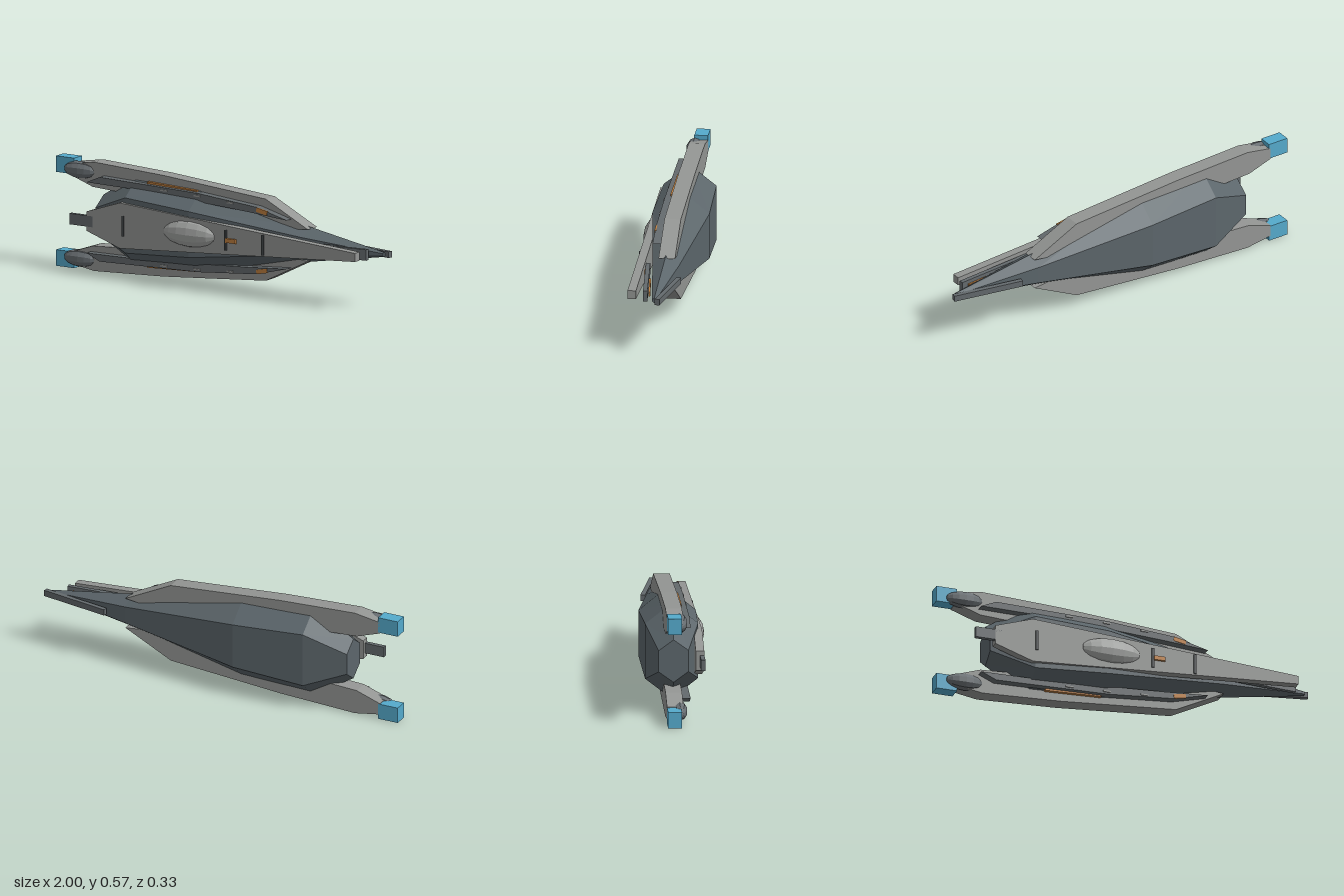
import * as THREE from 'three';

const MID = 0.283; // height of the mirror plane

const mat = (name, color) => {
  const m = new THREE.MeshStandardMaterial({ color });
  m.name = name;
  return m;
};

// Hexagonal hull: each section is [x, tip half height, flat half height, half depth, centre z]
function hullGeometry(sections) {
  const rings = sections.map(([x, v, f, h, c]) =>
    [[v, 0], [f, h], [-f, h], [-v, 0], [-f, -h], [f, -h]].map(([y, z]) => [x, MID + y, c + z]));
  const pos = [];
  const tri = (...pts) => pts.forEach((p) => pos.push(...p));
  for (let i = 0; i < rings.length - 1; i++) {
    for (let j = 0; j < 6; j++) {
      const k = (j + 1) % 6;
      const a = rings[i][j], b = rings[i + 1][j], c = rings[i + 1][k], d = rings[i][k];
      tri(a, d, b);
      tri(d, c, b);
    }
  }
  const first = rings[0], last = rings[rings.length - 1];
  for (let j = 1; j < 5; j++) {
    tri(first[0], first[j + 1], first[j]);
    tri(last[0], last[j], last[j + 1]);
  }
  const g = new THREE.BufferGeometry();
  g.setAttribute('position', new THREE.Float32BufferAttribute(pos, 3));
  g.computeVertexNormals();
  return g;
}

export function createModel() {
  const group = new THREE.Group();
  const hullGrey = mat('hull grey', 0x5c666b);
  const lightGrey = mat('light grey', 0x949694);
  const midGrey = mat('trim grey', 0x646a6d);
  const darkGrey = mat('slot grey', 0x454a4c);
  const orange = mat('orange', 0xc08040);
  const blue = mat('engine blue', 0x55aacc);
  const podGrey = mat('pod grey', 0x686e72);
  const domeGrey = mat('dome grey', 0xa4a6a4);
  podGrey.flatShading = domeGrey.flatShading = true;

  const add = (name, geo, material) => {
    const m = new THREE.Mesh(geo, material);
    m.name = name;
    group.add(m);
    return m;
  };
  const box = (name, material, size, at, tilt = 0) => {
    const m = add(name, new THREE.BoxGeometry(...size), material);
    m.position.set(...at);
    m.rotation.y = tilt;
    return m;
  };
  // Slab cut from an outline in x and y, between two z values
  const slab = (name, material, pts, z0, z1) => {
    const shape = new THREE.Shape(pts.map((p) => new THREE.Vector2(...p)));
    const g = new THREE.ExtrudeGeometry(shape, { depth: z1 - z0, bevelEnabled: false });
    g.translate(0, 0, z0);
    return add(name, g, material);
  };
  const ellipsoid = (name, material, radii, at, w, h) => {
    const g = new THREE.SphereGeometry(1, w, h);
    g.rotateZ(Math.PI / 2);
    g.scale(...radii);
    return add(name, g, material).position.set(...at);
  };

  // Main hull
  add('hull', hullGeometry([
    [-0.73, 0.11, 0.055, 0.075, -0.025],
    [-0.51, 0.247, 0.142, 0.134, -0.022],
    [-0.12, 0.236, 0.118, 0.144, -0.022],
    [0.52, 0.09, 0.045, 0.068, -0.02],
    [0.97, 0.012, 0.006, 0.01, -0.015],
  ]), hullGrey);

  // Long deck plate on the front face, with slots, dome and tail block
  const half = [[-0.73, 0.05], [-0.53, 0.117], [0.89, 0.022]];
  slab('deckPlate', lightGrey, [
    ...half.map(([x, y]) => [x, MID + y]),
    ...half.map(([x, y]) => [x, MID - y]).reverse(),
  ], 0.087, 0.13);
  for (const x of [-0.51, 0.11, 0.335]) box('deckSlot', darkGrey, [0.013, 0.105, 0.009], [x, MID, 0.132]);
  box('deckMarker', orange, [0.06, 0.022, 0.016], [0.145, MID, 0.134]);
  ellipsoid('dome', domeGrey, [0.16, 0.07, 0.047], [-0.112, MID + 0.005, 0.118], 12, 8);
  box('tailBlock', midGrey, [0.14, 0.056, 0.022], [-0.765, MID, 0.119]);

  // Nose prongs
  box('frontProng', midGrey, [0.46, 0.056, 0.022], [0.675, MID, 0.058], 0.085);
  box('prongMarker', orange, [0.07, 0.022, 0.008], [0.485, MID, 0.086], 0.085);
  box('prongStripe', orange, [0.23, 0.022, 0.009], [0.755, MID, 0.033], 0.1);
  box('backProng', midGrey, [0.375, 0.032, 0.024], [0.812, MID, -0.066], -0.18);

  // Mirrored side assemblies: upper (s = 1) and lower (s = -1)
  for (const s of [1, -1]) {
    const side = s > 0 ? 'upper' : 'lower';
    const Y = (y) => MID + s * (y - MID);
    const flip = (pts) => pts.map(([x, y]) => [x, Y(y)]);

    slab(side + 'Fin', lightGrey, flip([
      [-0.9, 0.48], [-0.9, 0.54], [-0.76, 0.563], [-0.34, 0.543], [0.275, 0.493],
      [0.53, 0.365], [0.4, 0.35], [-0.5, 0.42], [-0.77, 0.435],
    ]), -0.068, 0.015);
    slab(side + 'Rail', midGrey, flip([
      [-0.78, 0.465], [-0.7, 0.5], [-0.1, 0.485], [0.25, 0.455], [0.43, 0.408],
      [0.2, 0.425], [-0.4, 0.46],
    ]), 0.015, 0.058);
    box(side + 'Engine', blue, [0.11, 0.083, 0.07], [-0.945, Y(0.5245), -0.033]);
    ellipsoid(side + 'Pod', podGrey, [0.1, 0.046, 0.04], [-0.85, Y(0.51), -0.002], 10, 8);

    // Small markers along the rail
    const long = box(side + 'LongMarker', orange, [0.3, 0.02, 0.02], [-0.28, Y(0.488), 0.023]);
    long.rotation.z = -s * 0.04;
    const short = box(side + 'ShortMarker', orange, [0.065, 0.022, 0.008], [0.28, Y(0.437), 0.057]);
    short.rotation.z = -s * 0.2;
    for (const [x, y] of [[-0.31, 0.477], [-0.11, 0.472], [0.09, 0.46]]) {
      box(side + 'RailVent', lightGrey, [0.04, 0.008, 0.006], [x, Y(y), 0.06]);
    }
  }
  return group;
}
